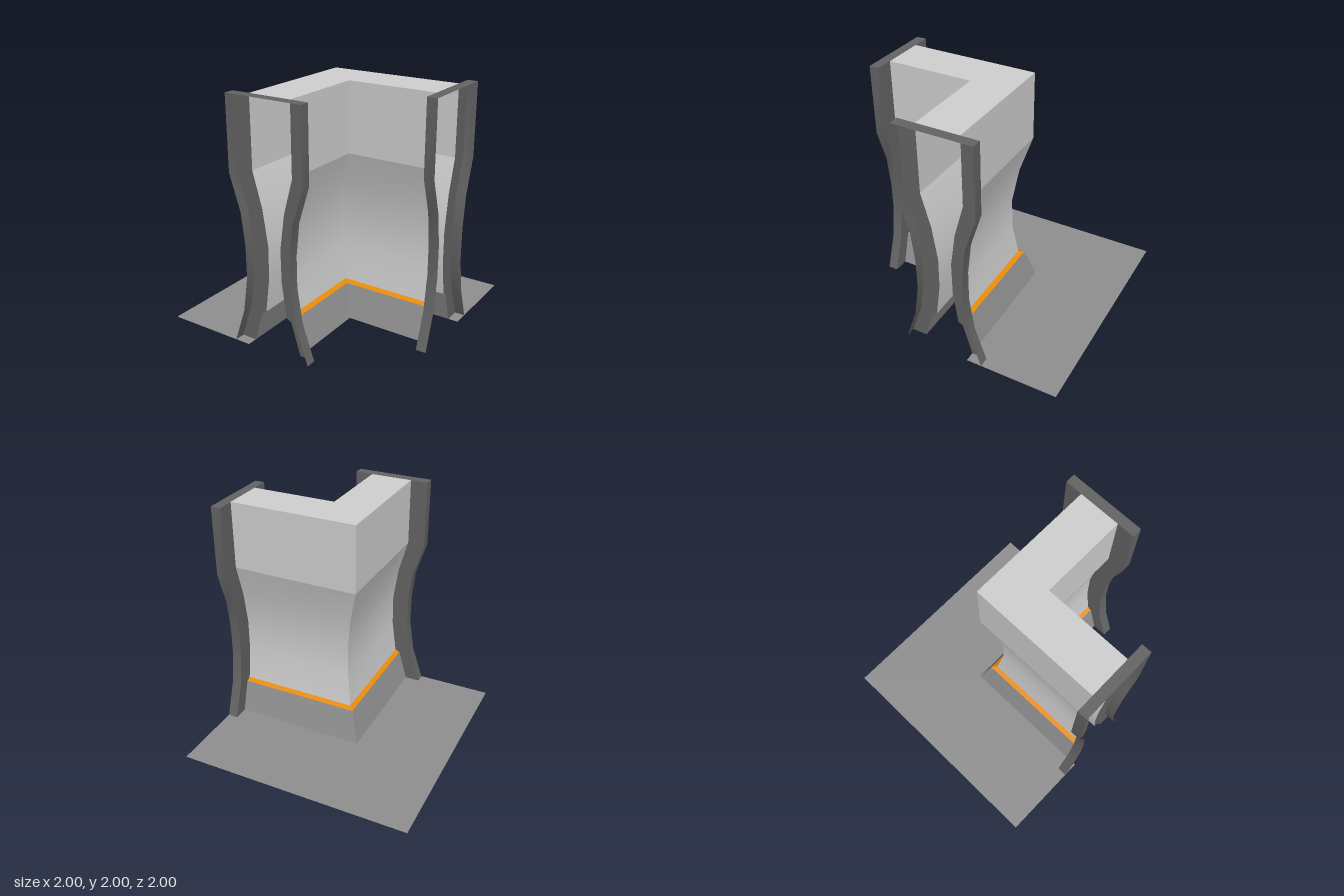
import * as THREE from 'three';

const END = 0.915; // where the wall sheets meet the end frames

function material(name, color) {
  const m = new THREE.MeshStandardMaterial({ color, side: THREE.DoubleSide });
  m.name = name;
  return m;
}

// Sheet ruled between two upright curves; left(h) and right(h) give [x, z] for half-width h
function ruledSheet(name, mat, profile, left, right) {
  const pos = [], index = [];
  profile.forEach(([h, y], i) => {
    const [ax, az] = left(h), [bx, bz] = right(h);
    pos.push(ax, y, az, bx, y, bz);
    if (i > 0) {
      const a = 2 * i - 2;
      index.push(a, a + 1, a + 3, a, a + 3, a + 2);
    }
  });
  const g = new THREE.BufferGeometry();
  g.setAttribute('position', new THREE.Float32BufferAttribute(pos, 3));
  g.setIndex(index);
  g.computeVertexNormals();
  const mesh = new THREE.Mesh(g, mat);
  mesh.name = name;
  return mesh;
}

// Flat horizontal sheet from [x, z] corners
function flatSheet(name, mat, corners, y) {
  const shape = new THREE.Shape(corners.map(([x, z]) => new THREE.Vector2(x, -z)));
  const mesh = new THREE.Mesh(new THREE.ShapeGeometry(shape).rotateX(-Math.PI / 2), mat);
  mesh.position.y = y;
  mesh.name = name;
  return mesh;
}

// L outline following the two arms
const cornerOutline = (outer, inner, end) => [
  [outer, outer], [end, outer], [end, inner], [inner, inner], [inner, end], [outer, end],
];

export function createModel() {
  const model = new THREE.Group();
  model.name = 'cornerWall';

  const wallMat = material('light grey', 0xd0d0d0);
  const floorMat = material('mid grey', 0x909090);
  const frameMat = material('dark grey', 0x646464);
  const trimMat = material('orange', 0xf09008);

  // Half-width and height of the wall section, from floor to top
  const base = [[0.22, 0], [0.14, 0.27]];
  const trim = [[0.14, 0.27], [0.10, 0.288]];
  const waist = [[0.10, 0.288], [0.06, 0.58], [0.057, 0.85], [0.10, 1.14], [0.18, 1.425]];
  const upper = [[0.18, 1.425], [0.18, 2]];
  const flange = [[0.35, 0], [0.25, 0.29], [0.206, 0.58], [0.206, 0.84],
    [0.237, 1.11], [0.33, 1.405], [0.33, 2]];

  // Four wall faces: two on the outside of the corner, two on the inside
  const faces = {
    Back: [h => [END, -h], h => [-h, -h]],
    Right: [h => [-h, -h], h => [-h, END]],
    InnerFront: [h => [h, h], h => [END, h]],
    InnerLeft: [h => [h, END], h => [h, h]],
  };
  const bands = [['base', floorMat, base], ['trim', trimMat, trim],
    ['wallWaist', wallMat, waist], ['wallUpper', wallMat, upper]];
  for (const [side, [left, right]] of Object.entries(faces)) {
    for (const [name, mat, profile] of bands) {
      model.add(ruledSheet(name + side, mat, profile, left, right));
    }
  }

  // Wall top and floor
  model.add(flatSheet('wallTop', wallMat, cornerOutline(-0.18, 0.18, END), 2));
  model.add(flatSheet('floor', floorMat, cornerOutline(-1, -0.22, 1), 0));

  // Angle-section frame at the end of each arm, open towards the end
  const innerEdge = [...base, ...trim.slice(1), ...waist.slice(1), ...upper.slice(1)];
  function endFrame(name) {
    const frame = new THREE.Group();
    frame.name = name;
    for (const s of [-1, 1]) {
      const label = s < 0 ? 'Right' : 'Left';
      const outline = [...flange, ...innerEdge.slice().reverse()]
        .map(([h, y]) => new THREE.Vector2(s * h, y));
      const web = new THREE.Mesh(new THREE.ShapeGeometry(new THREE.Shape(outline)), frameMat);
      web.position.z = END;
      web.name = 'frameWeb' + label;
      const near = h => [s * h, 1], far = h => [s * h, END];
      frame.add(web, ruledSheet('frameFlange' + label, frameMat, flange,
        s < 0 ? far : near, s < 0 ? near : far));
    }
    frame.add(flatSheet('frameTop', frameMat,
      [[-0.33, END], [0.33, END], [0.33, 1], [-0.33, 1]], 2));
    return frame;
  }
  const frontFrame = endFrame('frontFrame');
  const leftFrame = endFrame('leftFrame');
  leftFrame.rotation.y = Math.PI / 2;
  model.add(frontFrame, leftFrame);

  return model;
}
